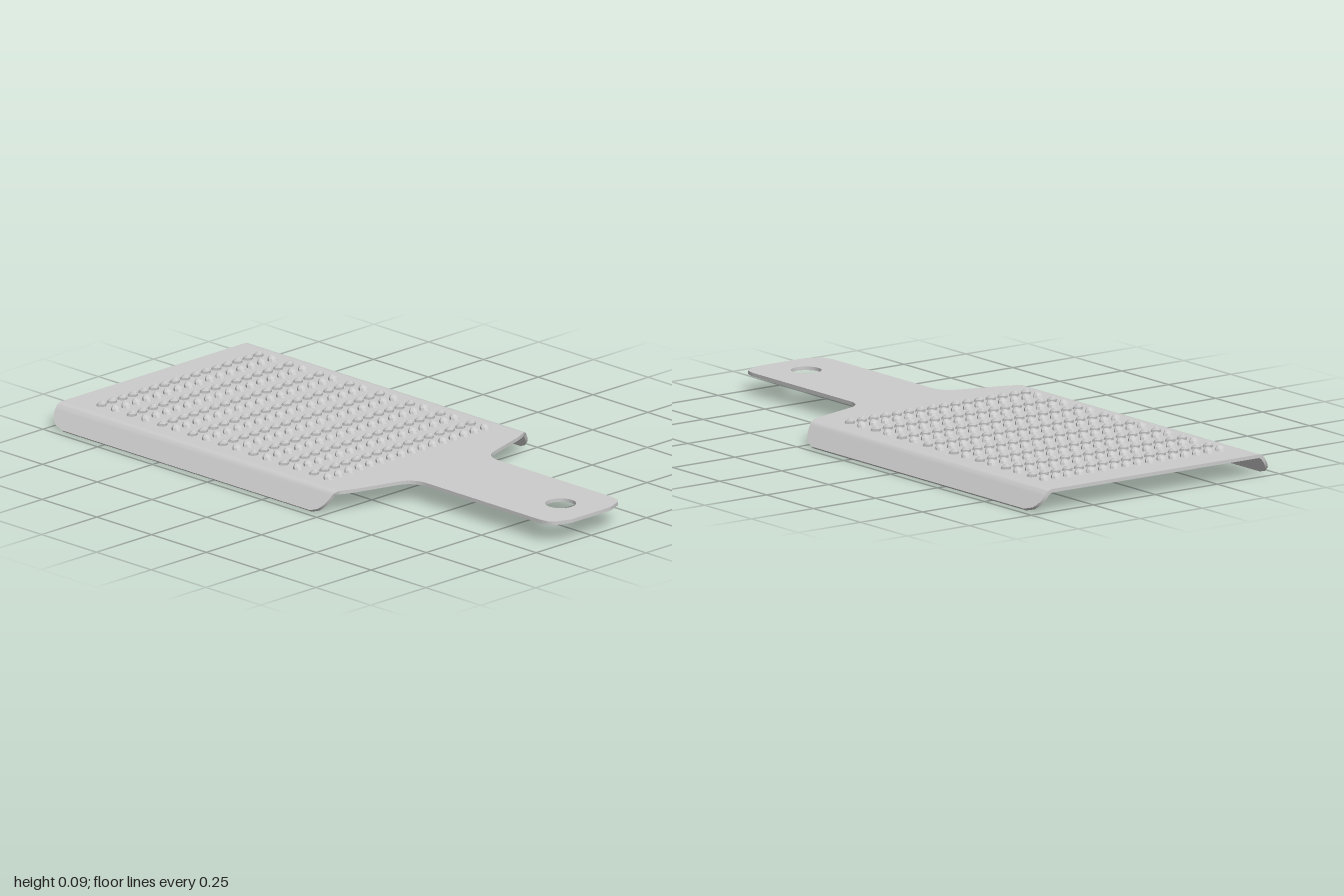
import * as THREE from 'three';
import { mergeGeometries, toCreasedNormals } from 'three/addons/utils/BufferGeometryUtils.js';

const TOP = 0.075, T = 0.012, FOLD = 0.415;
const material = new THREE.MeshStandardMaterial({ color: 0xcccccc });

function part(name, geometry) {
  const mesh = new THREE.Mesh(geometry, material);
  mesh.name = name;
  return mesh;
}

// Flat sheet: grating field, sloping shoulders and handle with hanging hole
function plateGeometry() {
  const s = new THREE.Shape();
  s.moveTo(-1, -FOLD);
  s.lineTo(0.272, -FOLD);
  s.quadraticCurveTo(0.285, -0.39, 0.295, -0.36);
  s.lineTo(0.335, -0.225);
  s.quadraticCurveTo(0.35, -0.165, 0.41, -0.163);
  s.lineTo(0.925, -0.163);
  s.quadraticCurveTo(0.97, -0.16, 0.98, -0.14);
  s.lineTo(0.995, -0.1);
  s.quadraticCurveTo(1, -0.09, 1, -0.07);
  s.lineTo(1, 0.07);
  s.quadraticCurveTo(1, 0.09, 0.995, 0.1);
  s.lineTo(0.98, 0.14);
  s.quadraticCurveTo(0.97, 0.16, 0.925, 0.163);
  s.lineTo(0.41, 0.163);
  s.quadraticCurveTo(0.35, 0.165, 0.335, 0.225);
  s.lineTo(0.295, 0.36);
  s.quadraticCurveTo(0.285, 0.39, 0.272, FOLD);
  s.lineTo(-1, FOLD);
  s.closePath();
  const hole = new THREE.Path();
  hole.absarc(0.86, 0, 0.05, 0, Math.PI * 2, true);
  s.holes.push(hole);
  const g = new THREE.ExtrudeGeometry(s, { depth: T, bevelEnabled: false, curveSegments: 8 });
  g.rotateX(-Math.PI / 2).translate(0, TOP - T, 0);
  return toCreasedNormals(g, 0.6);
}

// Folded rim: rectangular sections swept round the bend and down the slope
function rimGeometry() {
  const sections = [], angle = 0.915, R = 0.03;
  const add = (z, y, a, xl, xr) => {
    const iz = z - Math.sin(a) * T, iy = y - Math.cos(a) * T;
    sections.push([[xl, y, z], [xr, y, z], [xr, iy, iz], [xl, iy, iz]]);
  };
  for (let i = 0; i <= 4; i++) {
    const a = angle * i / 4;
    add(FOLD + R * Math.sin(a), TOP - R * (1 - Math.cos(a)), a, -1, 0.272 - 0.012 * i / 4);
  }
  const z0 = FOLD + R * Math.sin(angle), y0 = TOP - R * (1 - Math.cos(angle));
  for (let i = 1; i <= 6; i++) {
    const t = i / 6, c = 1 - Math.sqrt(1 - t * t);
    add(z0 + (0.48 - z0) * t, y0 + (T * Math.cos(angle) - y0) * t, angle,
      -1 + 0.065 * c, 0.26 - 0.015 * t - 0.045 * c);
  }
  const pos = sections.flat(2), index = [];
  for (let i = 0; i < sections.length - 1; i++) {
    for (let k = 0; k < 4; k++) {
      const a = i * 4 + k, b = i * 4 + (k + 1) % 4;
      index.push(a, a + 4, b, b, a + 4, b + 4);
    }
  }
  const e = (sections.length - 1) * 4;
  index.push(e, e + 2, e + 1, e, e + 3, e + 2);
  const g = new THREE.BufferGeometry();
  g.setAttribute('position', new THREE.Float32BufferAttribute(pos, 3));
  g.setIndex(index);
  return toCreasedNormals(g, 0.6);
}

// One tooth: leaning faceted bump above the sheet, pointed burr below
function toothGeometry() {
  const bump = new THREE.SphereGeometry(1, 8, 3, 0, Math.PI * 2, 0, Math.PI / 2);
  bump.scale(0.017, 0.019, 0.018);
  const p = bump.attributes.position;
  for (let i = 0; i < p.count; i++) p.setX(i, p.getX(i) + p.getY(i) * 0.4);
  bump.translate(0, TOP - 0.001, 0);
  const burr = new THREE.ConeGeometry(0.018, 0.026, 6);
  burr.rotateX(Math.PI).translate(0, TOP - T - 0.012, 0);
  return toCreasedNormals(mergeGeometries([bump.toNonIndexed(), burr.toNonIndexed()]), 0.3);
}

export function createModel() {
  const group = new THREE.Group();
  group.name = 'grater';
  group.add(part('plateAndHandle', plateGeometry()));

  const rim = rimGeometry();
  group.add(part('frontRim', rim));
  group.add(part('backRim', rim.clone().rotateY(Math.PI)));
  // Turn the back rim's x round again, flipping the winding to match
  const back = group.children[2].geometry;
  back.scale(-1, 1, 1);
  for (const name of ['position', 'normal', 'uv']) {
    const at = back.attributes[name];
    if (!at) continue;
    const n = at.itemSize * 3, s = at.itemSize;
    for (let i = 0; i < at.array.length; i += n) {
      const first = at.array.slice(i, i + s);
      at.array.copyWithin(i, i + s, i + 2 * s);
      at.array.set(first, i + s);
    }
  }
  back.deleteAttribute('normal');
  group.children[2].geometry = toCreasedNormals(back, 0.6);

  // Teeth in paired columns that lean towards each other
  const tooth = toothGeometry();
  for (let c = 0; c < 16; c++) {
    const column = [];
    for (let r = 0; r < 16; r++) {
      const g = tooth.clone();
      if (c % 2) g.rotateY(Math.PI);
      column.push(g.translate(-0.88 + c * 0.0693, 0, (r - 7.5) * 0.0473));
    }
    group.add(part('toothColumn', mergeGeometries(column)));
  }
  return group;
}
